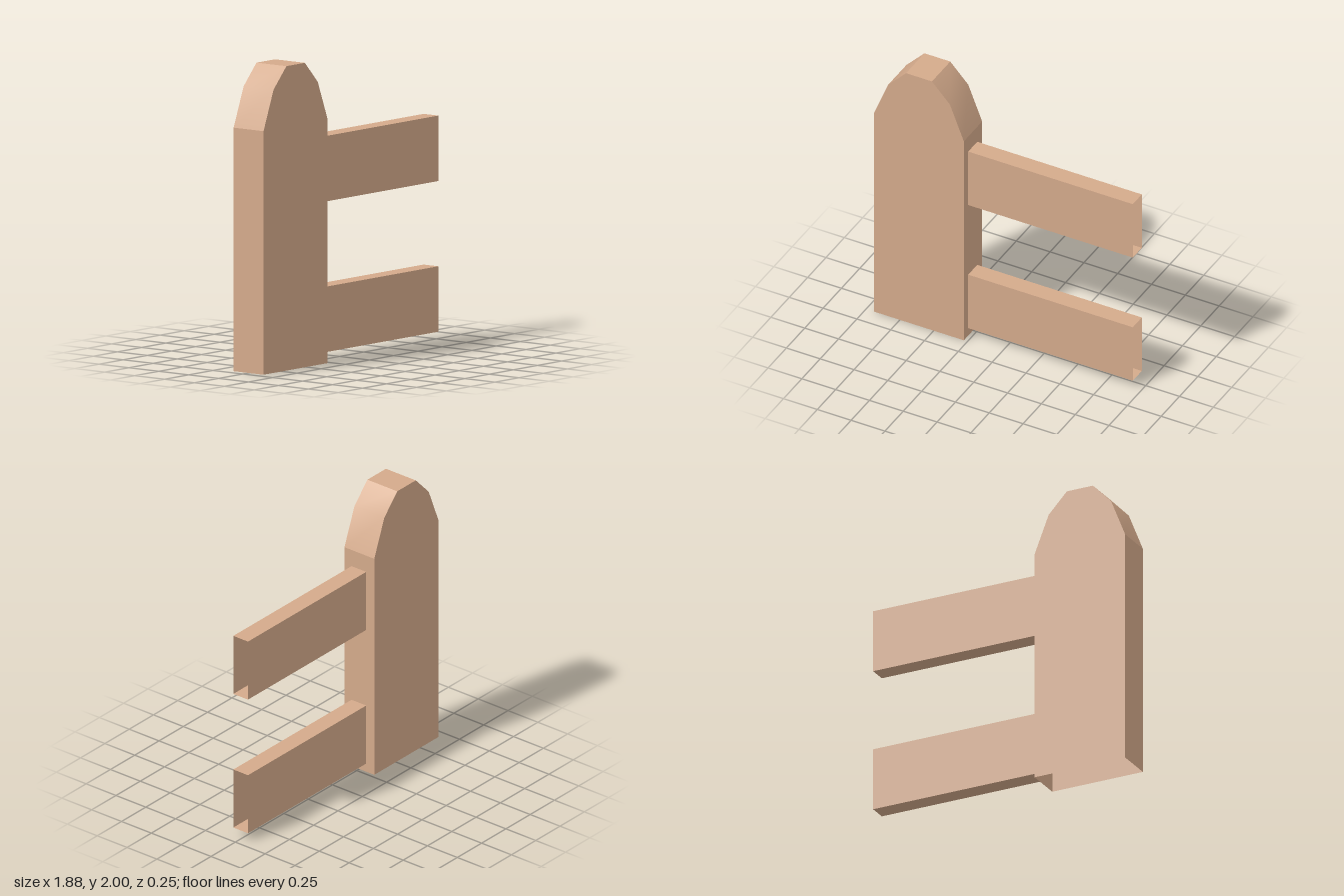
import * as THREE from 'three';
import { mergeGeometries } from 'three/addons/utils/BufferGeometryUtils.js';

// Ribbon along a run of outline points, spanning -d..d in z (shaded smoothly within the run)
function ribbon(points, d) {
  const pos = [], index = [];
  points.forEach(([x, y], i) => {
    pos.push(x, y, d, x, y, -d);
    if (i > 0) {
      const a = 2 * i - 2;
      index.push(a, a + 1, a + 3, a, a + 3, a + 2);
    }
  });
  const g = new THREE.BufferGeometry();
  g.setAttribute('position', new THREE.Float32BufferAttribute(pos, 3));
  g.setIndex(index);
  g.computeVertexNormals();
  return g;
}

// Front and back faces of a flat outline
function faces(points, d) {
  const outline = (pts) => new THREE.ShapeGeometry(new THREE.Shape(pts.map(([x, y]) => new THREE.Vector2(x, y))));
  const front = outline(points).translate(0, 0, d);
  const back = outline(points.map(([x, y]) => [-x, y])).rotateY(Math.PI).translate(0, 0, -d);
  return mergeGeometries([front, back]);
}

export function createModel() {
  // Double-sided, as the boards are open shells
  const wood = new THREE.MeshStandardMaterial({ color: 0xd4aa8b, side: THREE.DoubleSide });
  wood.name = 'wood';
  const model = new THREE.Group();
  model.name = 'fenceSection';

  // A board from its outline, given counter-clockwise as runs that meet at sharp edges
  function addBoard(name, runs, d, z = 0) {
    const board = new THREE.Group();
    board.name = name;
    board.position.z = z;
    const sides = new THREE.Mesh(mergeGeometries(runs.map((run) => ribbon(run, d))), wood);
    sides.name = name + 'Edges';
    const panels = new THREE.Mesh(faces(runs.flat(), d), wood);
    panels.name = name + 'Faces';
    board.add(sides, panels);
    model.add(board);
  }

  // Post with a faceted rounded top, open underneath
  addBoard('post', [
    [[-0.277, 0], [-0.277, 1.6]],
    [[-0.277, 1.6], [-0.38, 1.86], [-0.513, 2]],
    [[-0.513, 2], [-0.704, 2]],
    [[-0.704, 2], [-0.837, 1.86], [-0.94, 1.6]],
    [[-0.94, 1.6], [-0.94, 0]],
  ], 0.125);

  // Two rails, open at their ends
  [['lowerRail', 0.06], ['upperRail', 1.05]].forEach(([name, y]) => {
    addBoard(name, [
      [[-0.277, y], [0.94, y]],
      [[0.94, y + 0.43], [-0.277, y + 0.43]],
    ], 0.0615, 0.004);
  });

  return model;
}
